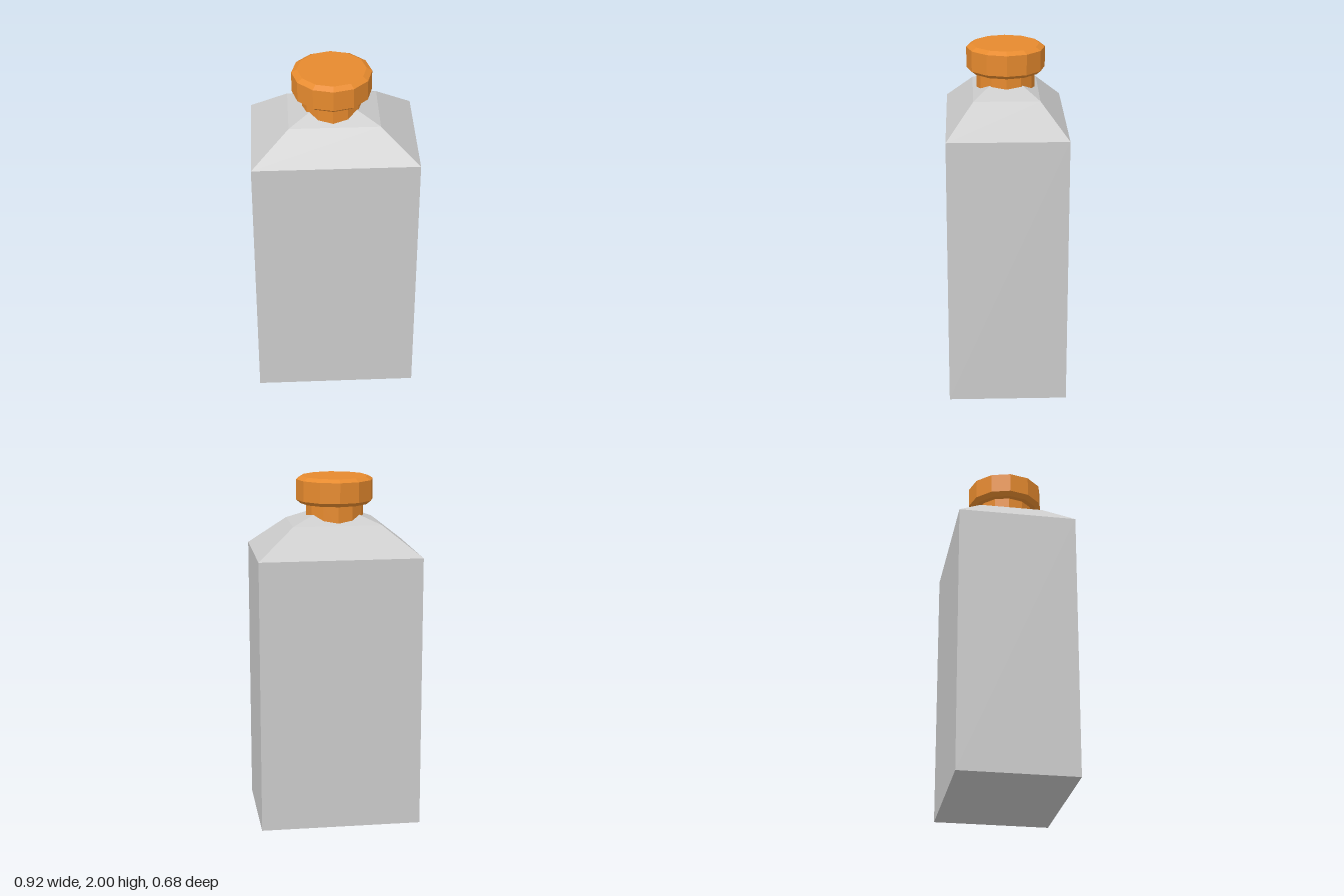
import * as THREE from 'three';

const grey = new THREE.MeshStandardMaterial({ color: 0xcccccc, flatShading: true });
const orange = new THREE.MeshStandardMaterial({ color: 0xe68a2e, flatShading: true });

function part(name, geometry, material) {
  const flat = geometry.toNonIndexed();
  flat.computeVertexNormals();
  const mesh = new THREE.Mesh(flat, material);
  mesh.name = name;
  return mesh;
}

// Rectangular bottle: a box whose rings of vertices follow [halfWidth, y, halfDepth]
function bottleGeometry() {
  const rings = [
    [0.462, 0, 0.338],
    [0.462, 1.57, 0.338],
    [0.252, 1.737, 0.185],
    [0.1, 1.801, 0.073], // closes inside the neck
  ];
  const geometry = new THREE.BoxGeometry(2, rings.length - 1, 2, 1, rings.length - 1, 1);
  const pos = geometry.attributes.position;
  for (let i = 0; i < pos.count; i++) {
    const [w, y, d] = rings[Math.round(pos.getY(i) + (rings.length - 1) / 2)];
    pos.setXYZ(i, Math.sign(pos.getX(i)) * w, y, Math.sign(pos.getZ(i)) * d);
  }
  return geometry;
}

// Twelve-sided turned part from [radius, y] points, bottom to top
function turned(points) {
  return new THREE.LatheGeometry(points.map(([r, y]) => new THREE.Vector2(r, y)), 12);
}

export function createModel() {
  const model = new THREE.Group();
  model.name = 'bottle';

  model.add(part('body', bottleGeometry(), grey));

  // Stopper sits very slightly off centre
  const stopper = new THREE.Group();
  stopper.name = 'stopper';
  stopper.position.set(-0.008, 0, -0.001);
  stopper.add(part('neck', turned([[0.165, 1.71], [0.165, 1.85]]), orange));
  stopper.add(part('cap', turned([
    [0, 1.845], [0.195, 1.845], [0.221, 1.866], [0.221, 1.982], [0.19, 2], [0, 2],
  ]), orange));
  model.add(stopper);

  return model;
}
